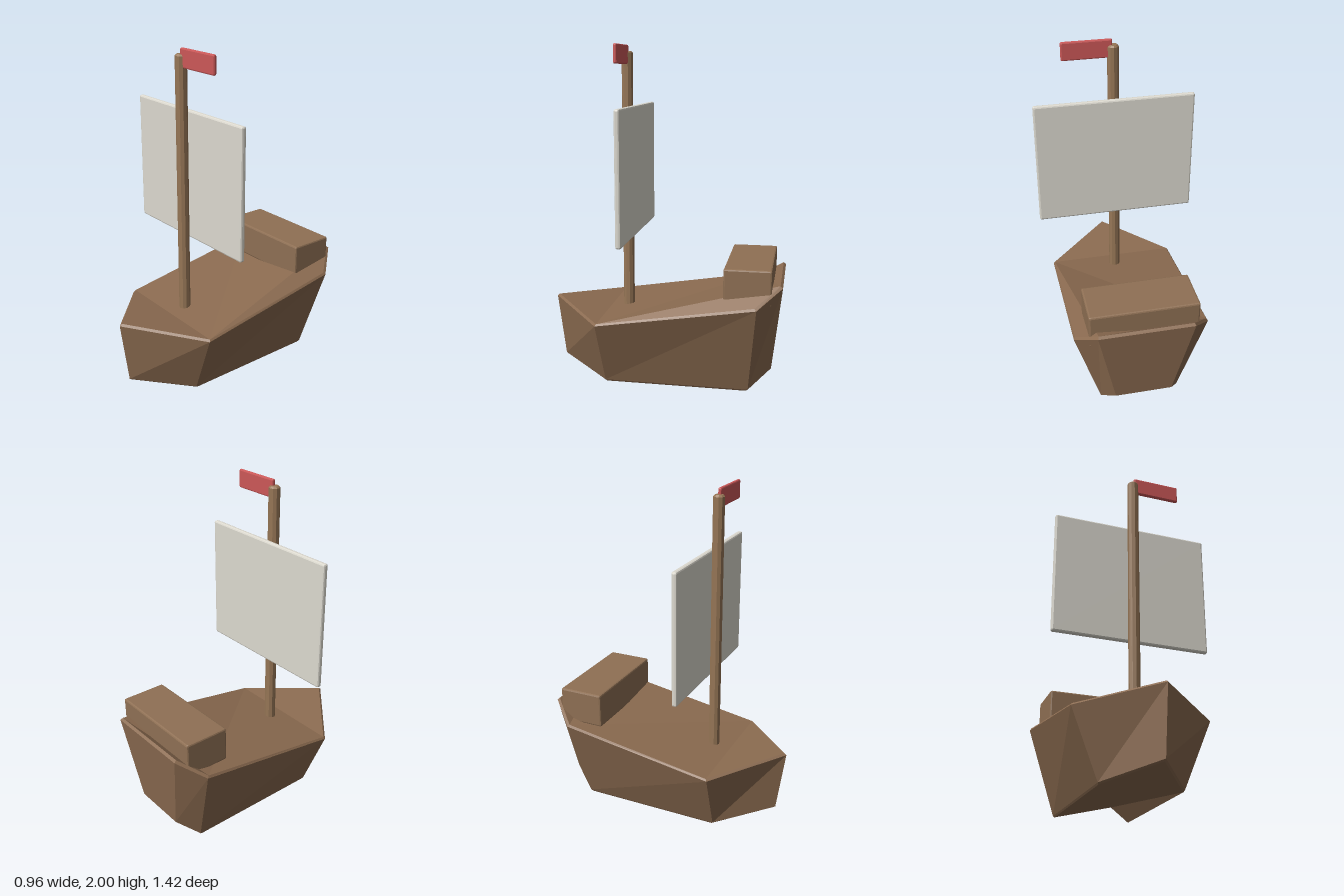
import * as THREE from 'three';
import { RoundedBoxGeometry } from 'three/addons/geometries/RoundedBoxGeometry.js';

const mat = (color, flatShading = false) => new THREE.MeshStandardMaterial({ color, flatShading });

// Hull corners, from the bow round the left side, stern and right side
const deckEdge = [
  [0, 0.46, 0.71], [0.397, 0.41, 0.36], [0.397, 0.555, -0.57], [0.28, 0.66, -0.71],
  [-0.28, 0.66, -0.71], [-0.397, 0.555, -0.57], [-0.397, 0.41, 0.36],
];
const keelEdge = [
  [0, 0.065, 0.66], [0.24, 0.005, 0.34], [0.24, 0.005, -0.52], [0.17, 0.12, -0.65],
  [-0.17, 0.12, -0.65], [-0.24, 0.005, -0.52], [-0.24, 0.005, 0.34],
];

// Shrinks a ring towards the centre line and shifts it in height
const inset = (ring, s, dy) => ring.map(([x, y, z]) => [x * s, y + dy, z * s]);

// Low-poly hull with a narrow bevel along the deck and the bottom
function hullGeometry() {
  const rings = [
    inset(keelEdge, 0.975, -0.005), inset(keelEdge, 1, 0.005),
    inset(deckEdge, 1, -0.012), inset(deckEdge, 0.98, 0),
  ];
  const n = deckEdge.length;
  const index = [];
  for (let r = 0; r < rings.length - 1; r++) {
    for (let i = 0; i < n; i++) {
      const a = r * n + i, b = r * n + (i + 1) % n;
      index.push(a, b, b + n, a, b + n, a + n);
    }
  }
  const cap = [[0, 1, 6], [1, 5, 6], [1, 3, 5], [1, 2, 3], [3, 4, 5]];
  const top = (rings.length - 1) * n;
  for (const [a, b, c] of cap) index.push(a + top, b + top, c + top, a, c, b);

  const g = new THREE.BufferGeometry();
  g.setAttribute('position', new THREE.Float32BufferAttribute(rings.flat(2), 3));
  g.setIndex(index);
  const flat = g.toNonIndexed();
  flat.computeVertexNormals();
  return flat;
}

// Bevelled box given by its lowest and highest corners
function block(name, min, max, bevel, material) {
  const size = max.map((v, i) => v - min[i]);
  const mesh = new THREE.Mesh(new RoundedBoxGeometry(...size, 1, bevel), material);
  mesh.position.set(...max.map((v, i) => (v + min[i]) / 2));
  mesh.name = name;
  return mesh;
}

export function createModel() {
  const model = new THREE.Group();
  model.name = 'sailingBoat';
  const wood = mat(0x8b6b50, true);

  const hull = new THREE.Mesh(hullGeometry(), wood);
  hull.name = 'hull';

  // Mast with a chamfered top
  const r = 0.034;
  const profile = [[0, 0.38], [r, 0.38], [r, 1.955], [r - 0.01, 1.965], [0, 1.965]];
  const mast = new THREE.Mesh(
    new THREE.LatheGeometry(profile.map(([x, y]) => new THREE.Vector2(x, y)), 10),
    mat(0x967656, true),
  );
  mast.position.z = 0.243;
  mast.name = 'mast';

  const cabin = block('cabin', [-0.32, 0.545, -0.65], [0.32, 0.755, -0.375], 0.01, mat(0x8f7054, true));
  const sail = block('sail', [-0.48, 0.88, 0.178], [0.48, 1.65, 0.21], 0.01, mat(0xdddad0, true));
  const flag = block('flag', [0.005, 1.89, 0.232], [0.3, 2, 0.254], 0.008, mat(0xcc5858, true));

  model.add(hull, mast, cabin, sail, flag);
  return model;
}
